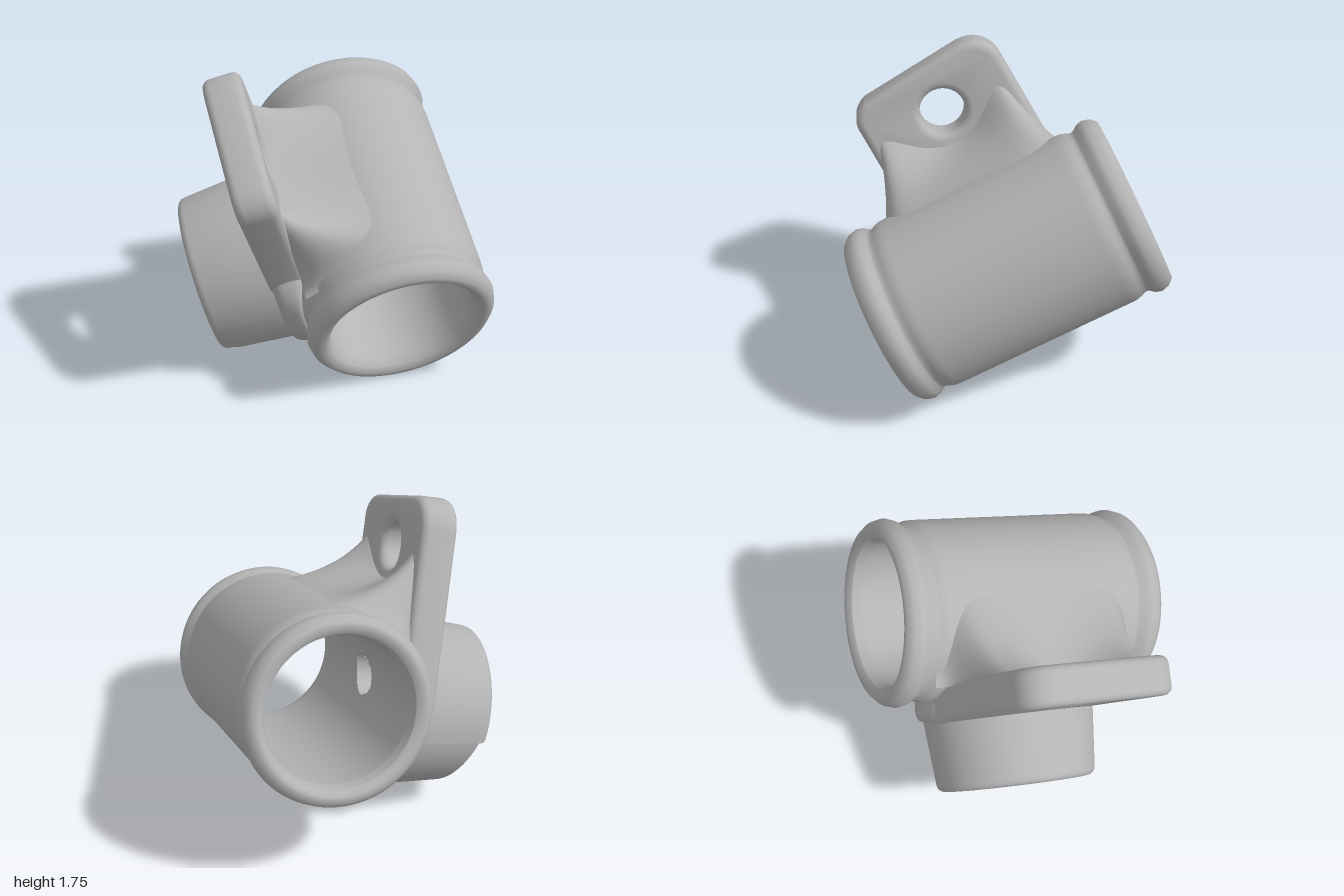
import * as THREE from 'three';
import { toCreasedNormals } from 'three/addons/utils/BufferGeometryUtils.js';

const grey = new THREE.MeshStandardMaterial({ color: 0xb4b4b4, side: THREE.DoubleSide });
grey.name = 'castGrey';

const V2 = (x, y) => new THREE.Vector2(x, y);
const part = (name, geo) => {
  const m = new THREE.Mesh(geo, grey);
  m.name = name;
  return m;
};
const circle = (x, y, r) => new THREE.Path().absarc(x, y, r, 0, Math.PI * 2, true);

// Bevelled slab lying between z0 and z1
function slab(shape, z0, z1, bevel) {
  const g = new THREE.ExtrudeGeometry(shape, {
    depth: z1 - z0 - 2 * bevel, bevelEnabled: true, bevelThickness: bevel,
    bevelSize: bevel, bevelSegments: 4, curveSegments: 40,
  });
  return g.translate(0, 0, z0 + bevel);
}

const BORE = 0.4;
const port = { x: 0, y: 0.055, r: 0.125 };

// Open pipe along x with a rounded lip and groove at both ends
function pipe() {
  const lip = [[0.415, 0.755], [0.445, 0.78], [0.48, 0.778], [0.51, 0.745], [0.522, 0.7],
    [0.513, 0.665], [0.49, 0.635], [0.486, 0.615], [0.497, 0.59], [0.506, 0.56]];
  const pts = lip.map(([r, y]) => V2(r, -y));
  for (let i = 1; i < 40; i++) pts.push(V2(0.508, -0.56 + 1.12 * i / 40));
  lip.slice().reverse().forEach(([r, y]) => pts.push(V2(r, y)));
  for (let i = 0; i <= 60; i++) pts.push(V2(BORE, 0.71 - 1.42 * i / 60));
  pts.push(pts[0].clone());
  const g = new THREE.LatheGeometry(pts, 144).rotateZ(-Math.PI / 2);
  // Open the wall where the side port enters
  const p = g.attributes.position, keep = [], idx = g.index.array;
  for (let i = 0; i < idx.length; i += 3) {
    const t = [idx[i], idx[i + 1], idx[i + 2]];
    const mean = f => (f(t[0]) + f(t[1]) + f(t[2])) / 3;
    const x = mean(k => p.getX(k)), y = mean(k => p.getY(k)), z = mean(k => p.getZ(k));
    if (z < 0 || Math.hypot(x - port.x, y - port.y) > port.r) keep.push(...t);
  }
  g.setIndex(keep);
  return g;
}

// Round collar joining pipe and boss; its foot follows the pipe and flares along it
function collar() {
  const prof = new THREE.SplineCurve([V2(0.38, 0), V2(0.46, 0.25), V2(0.515, 0.6), V2(0.52, 0.85), V2(0.45, 1)]);
  const g = new THREE.LatheGeometry(prof.getPoints(16), 96).rotateX(Math.PI / 2);
  g.translate(0, -0.06, 0);
  const p = g.attributes.position;
  for (let i = 0; i < p.count; i++) {
    const x = p.getX(i), y = p.getY(i), t = p.getZ(i);
    const foot = Math.sqrt(Math.max(0, 0.48 ** 2 - y * y));
    p.setX(i, x * (1 + (x > 0 ? 0.5 : 0.3) * (1 - t) ** 2));
    p.setZ(i, foot + (0.63 - foot) * t);
  }
  g.computeVertexNormals();
  return g;
}

// Lining of the port between the bore and the boss
function portLining() {
  const g = new THREE.CylinderGeometry(port.r, port.r, 1, 48, 1, true).rotateX(Math.PI / 2);
  g.translate(port.x, port.y, 0);
  const p = g.attributes.position;
  for (let i = 0; i < p.count; i++) {
    p.setZ(i, p.getZ(i) > 0 ? 0.6 : Math.sqrt(BORE ** 2 - p.getY(i) ** 2));
  }
  return g;
}

// Concave web from the pipe up to the lug, rising into a rib at each side
function web() {
  const nu = 56, nt = 24, pos = [], idx = [];
  for (let i = 0; i <= nu; i++) {
    const v = Math.sin((-1 + 2 * i / nu) * Math.PI / 2);
    const w = Math.sqrt(Math.max(0, 1 - v ** 8)), rib = v * v;
    const curve = new THREE.QuadraticBezierCurve(
      V2(0.45, 0.63 + 0.43 * rib), V2(0.35 - 0.05 * rib, 0.57 + 0.08 * rib), V2(-0.08, 0.49));
    for (let j = 0; j <= nt; j++) {
      const t = j / nt, q = curve.getPoint(t);
      pos.push(v * (0.43 + 0.16 * t), 0.3 + (q.y - 0.3) * w, 0.45 + (q.x - 0.45) * w);
      if (i < nu && j < nt) {
        const a = i * (nt + 1) + j, b = a + nt + 1;
        idx.push(a, a + 1, b, b, a + 1, b + 1);
      }
    }
  }
  const g = new THREE.BufferGeometry();
  g.setAttribute('position', new THREE.Float32BufferAttribute(pos, 3));
  g.setIndex(idx);
  g.computeVertexNormals();
  return g;
}

// Upright lug plate with an eye, cut away around the boss
function lugPlate() {
  const s = new THREE.Shape();
  s.moveTo(0.38, 0);
  s.lineTo(0.41, 0.9);
  s.quadraticCurveTo(0.42, 0.98, 0.34, 1.01);
  s.lineTo(-0.26, 1.07);
  s.quadraticCurveTo(-0.39, 1.07, -0.41, 0.95);
  s.lineTo(-0.48, 0);
  s.lineTo(-0.38, 0);
  s.absarc(0, -0.08, 0.385, Math.PI - 0.21, 0.21, true);
  s.holes.push(circle(-0.02, 0.81, 0.175));
  return toCreasedNormals(slab(s, 0.425, 0.635, 0.045), 0.6);
}

// One side of the stepped boss face, with a hole; widens towards the pipe
function bossHalf(from, to, hole, top, slope) {
  const s = new THREE.Shape();
  s.absarc(0, 0, 0.415, from, to, false);
  s.closePath();
  s.holes.push(circle(...hole));
  const g = slab(s, 0.44, top, 0.04);
  const p = g.attributes.position;
  for (let i = 0; i < p.count; i++) {
    const z = p.getZ(i), k = 1 + 0.2 * (1 - z), y = p.getY(i);
    const lean = slope * Math.max(0, -0.1 - y) * (z - 0.44) / 0.56;
    p.setXYZ(i, p.getX(i) * k, y * k - 0.08, z - lean);
  }
  return toCreasedNormals(g, 0.6);
}

export function createModel() {
  const model = new THREE.Group();
  model.name = 'pipeFitting';

  // Tilted working frame: x along the pipe, y towards the lug, z out of the boss
  const along = new THREE.Vector3(0.64, -0.39, 0.655).normalize();
  const out = new THREE.Vector3(-0.763, -0.26, 0.59);
  out.addScaledVector(along, -out.dot(along)).normalize();
  const up = new THREE.Vector3().crossVectors(out, along);
  const body = new THREE.Group();
  body.name = 'fittingBody';
  body.quaternion.setFromRotationMatrix(new THREE.Matrix4().makeBasis(along, up, out));
  body.position.set(0.09, 0.765, -0.115);
  model.add(body);

  const a = Math.asin(0.085 / 0.415);
  body.add(
    part('pipe', pipe()),
    part('collar', collar()),
    part('portLining', portLining()),
    part('lugWeb', web()),
    part('lugPlate', lugPlate()),
    part('bossUpper', bossHalf(-a, Math.PI + a, [0, 0.135, 0.165], 1.02, 0)),
    part('bossLower', bossHalf(Math.PI + a, 2 * Math.PI - a, [0.06, -0.265, 0.11], 0.995, 0.25)),
  );
  return model;
}
